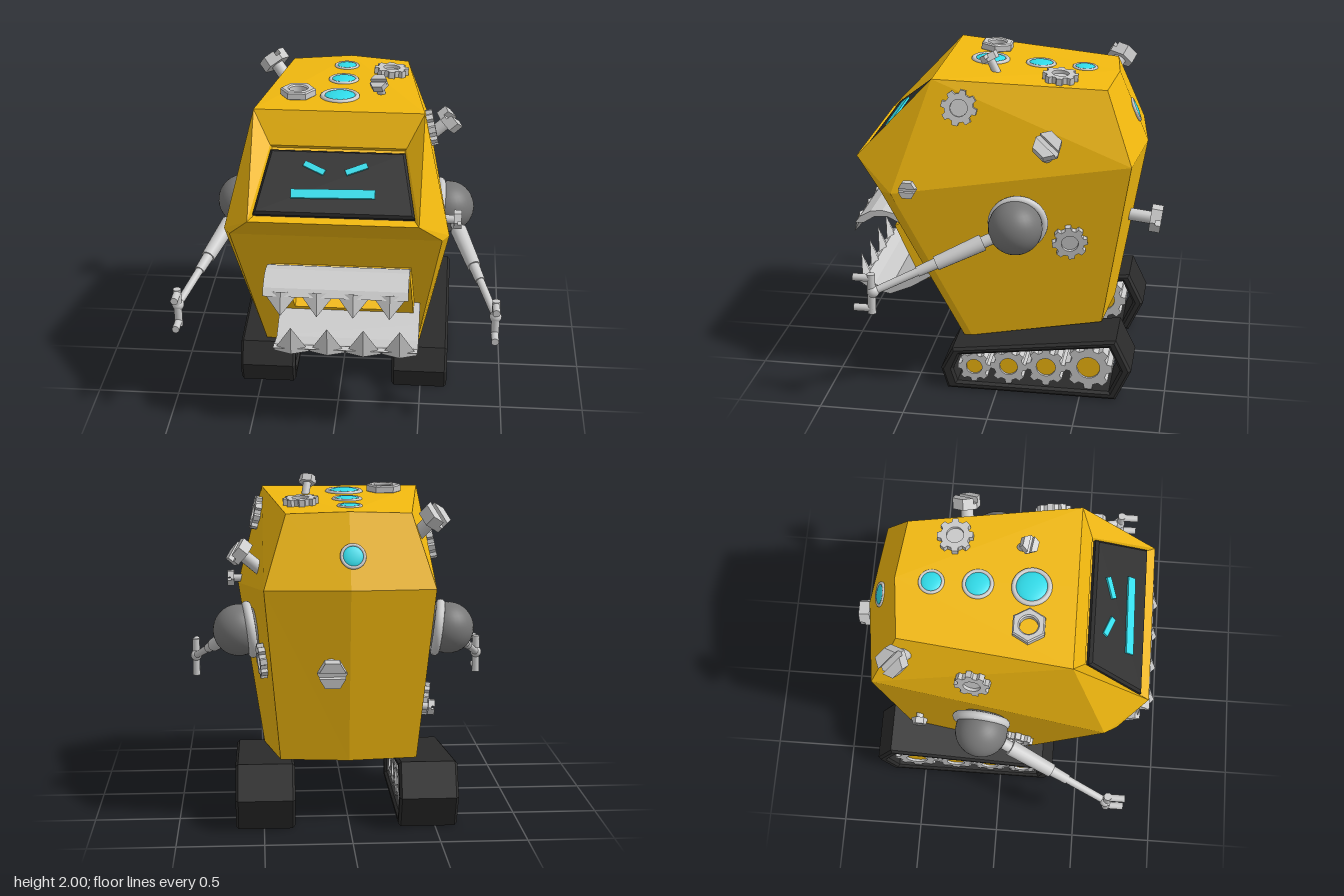
import * as THREE from 'three';
import { RoundedBoxGeometry } from 'three/addons/geometries/RoundedBoxGeometry.js';

const mat = (color, flatShading = false) => new THREE.MeshStandardMaterial({ color, flatShading });
const grey = mat(0xcccccc), flatGrey = mat(0xcccccc, true), joint = mat(0x777777);
const yellow = mat(0xf2b90f, true), dark = mat(0x2b2b2b, true), cyan = mat(0x30dcea);
yellow.side = flatGrey.side = THREE.DoubleSide;
const V = (a) => new THREE.Vector3(...a);
const Z = new THREE.Vector3(0, 0, 1), Y = new THREE.Vector3(0, 1, 0);

function add(parent, name, geo, material, pos = [0, 0, 0]) {
  const m = new THREE.Mesh(geo, material);
  m.name = name;
  m.position.set(...pos);
  parent.add(m);
  return m;
}
function sub(parent, name) {
  const g = new THREE.Group();
  g.name = name;
  parent.add(g);
  return g;
}
const poly = (pts) => new THREE.Shape(pts.map((p) => new THREE.Vector2(...p)));
const extrude = (shape, depth, bevel = 0) => new THREE.ExtrudeGeometry(shape, {
  depth: depth - 2 * bevel, bevelEnabled: bevel > 0, bevelSize: bevel, bevelOffset: -bevel,
  bevelThickness: bevel, bevelSegments: 1, curveSegments: 24 }).translate(0, 0, bevel - depth / 2);
// profile given as (z, y), extruded across x
const across = (shape, width, bevel) => extrude(shape, width, bevel).rotateY(-Math.PI / 2);
const disc = (r, h, n = 28, r2 = r) => new THREE.CylinderGeometry(r2, r, h, n).rotateX(Math.PI / 2);
function rod(parent, name, a, b, r1, r2, material = grey) {
  const d = b.clone().sub(a);
  const m = add(parent, name, new THREE.CylinderGeometry(r2, r1, d.length(), 18), material, a.clone().lerp(b, 0.5).toArray());
  m.quaternion.setFromUnitVectors(Y, d.normalize());
}

// Faceted body: half the corners, '*' means the same corner moved to the centre line
function bodyGeometry() {
  const P = {
    topFront: [0.49, 1.89, 0.4], topBack: [0.36, 1.83, -0.6], topRidge: [0, 1.845, -0.64],
    back: [0.49, 1.415, -0.76], ridge: [0, 1.42, -0.82], lowBack: [0.4, 0.385, -0.6], lowRidge: [0, 0.385, -0.645],
    side: [0.65, 1.235, 0.62], front: [0.61, 1.235, 0.69], lowFront: [0.47, 0.27, 0.23], lowSide: [0.49, 0.28, 0.18],
    brow: [0.48, 1.4, 0.86], rim: [0.39, 1.7, 0.47], inBrow: [0.455, 1.405, 0.8], inRim: [0.38, 1.68, 0.455],
  };
  const faces = [
    'topFront topBack topRidge topFront*', 'topBack back ridge topRidge', 'back lowBack lowRidge ridge',
    'topFront topBack back', 'topFront back side', 'side back lowBack lowSide', 'side lowSide lowFront front',
    'front lowFront lowFront* front*', 'lowSide lowBack lowRidge lowFront* lowFront', 'brow front front* brow*',
    'brow front side', 'brow side topFront', 'topFront brow rim', 'topFront rim rim* topFront*',
    'rim brow inBrow inRim', 'brow inBrow inBrow* brow*', 'rim inRim inRim* rim*', 'inBrow inRim inRim* inBrow*',
  ];
  const out = [], core = new THREE.Vector3(0, 1.05, 0);
  for (const s of [1, -1]) for (const f of faces) {
    const c = f.split(' ').map((k) => {
      const [x, y, z] = P[k.replace('*', '')];
      return new THREE.Vector3(k.endsWith('*') ? 0 : x * s, y, z);
    });
    for (let i = 1; i < c.length - 1; i++) {
      const t = new THREE.Triangle(c[0], c[i], c[i + 1]);
      const outward = t.getNormal(new THREE.Vector3()).dot(c[0].clone().sub(core)) > 0;
      for (const v of outward ? [t.a, t.b, t.c] : [t.a, t.c, t.b]) out.push(v.x, v.y, v.z);
    }
  }
  const g = new THREE.BufferGeometry();
  g.setAttribute('position', new THREE.Float32BufferAttribute(out, 3));
  g.computeVertexNormals();
  return g;
}

// Cog with trapezoid teeth and a round hole, axis along z
function cogGeometry(r, hole, depth, n = 8) {
  const pts = [];
  for (let i = 0; i < n; i++) for (const [t, k] of [[-0.32, 0.8], [-0.2, 1], [0.2, 1], [0.32, 0.8]]) {
    const a = ((i + t) / n) * Math.PI * 2;
    pts.push([Math.cos(a) * r * k, Math.sin(a) * r * k]);
  }
  const s = poly(pts);
  s.holes.push(new THREE.Path().absarc(0, 0, hole, 0, Math.PI * 2, true));
  return extrude(s, depth);
}

// Slotted hexagonal bolt: pos is the head centre, dir points out of the head
function bolt(parent, pos, dir, r) {
  const g = sub(parent, 'bolt'), h = r * 0.8, k = r * 0.2, w = r - k / Math.sqrt(3);
  add(g, 'boltShaft', disc(r * 0.45, r * 2, 16), grey, [0, 0, -r * 1.2]);
  add(g, 'boltHeadBase', disc(r, h / 2, 6).rotateZ(Math.PI / 6), flatGrey, [0, 0, -h / 4]);
  for (const s of [0, Math.PI]) {
    const half = poly([[w, k], [r / 2, r * 0.866], [-r / 2, r * 0.866], [-w, k]]);
    add(g, 'boltHeadHalf', extrude(half, h / 2), flatGrey, [0, 0, h / 4]).rotation.z = s;
  }
  g.position.set(...pos);
  g.quaternion.setFromUnitVectors(Z, V(dir).normalize());
}

export function createModel() {
  const model = new THREE.Group();
  model.name = 'robot';
  const body = add(model, 'body', bodyGeometry(), yellow);

  // Seat a group on the body surface, found along dir from a point outside
  const seat = (name, from, dir) => {
    const hit = new THREE.Raycaster(V(from), V(dir)).intersectObject(body)[0];
    const g = sub(model, name);
    g.position.copy(hit.point);
    g.quaternion.setFromUnitVectors(Z, hit.face.normal);
    return g;
  };

  // Lights on the top, back slope and underside
  const down = [0, -1, 0], up = [0, 1, 0];
  for (const [x, y, z, r, d] of [[-0.015, 3, -0.43, 0.075, down], [-0.015, 3, -0.165, 0.09, down], [-0.015, 3, 0.14, 0.115, down],
    [-0.015, 3, -0.74, 0.075, down], [-0.015, -1, 0.08, 0.105, up], [-0.015, -1, -0.19, 0.085, up], [-0.015, -1, -0.42, 0.07, up]]) {
    const g = seat('light', [x, y, z], d);
    add(g, 'lightRing', new THREE.TorusGeometry(r * 0.88, r * 0.13, 10, 32), grey);
    add(g, 'lightLens', new THREE.SphereGeometry(r * 0.82, 28, 14).scale(1, 1, 0.25), cyan);
  }

  // Cogs and a nut fixed to the panels
  const right = [1, 0, 0], left = [-1, 0, 0];
  for (const [from, d] of [[[2, 1.735, 0.235], left], [[2, 0.94, -0.41], left], [[-2, 1.6, -0.16], right],
    [[-2, 0.57, 0.1], right], [[0.265, 3, -0.315], down]]) {
    const g = seat('panelCog', from, d);
    add(g, 'cog', cogGeometry(0.105, 0.05, 0.04), flatGrey, [0, 0, 0.02]);
    add(g, 'cogCentre', disc(0.052, 0.02), grey, [0, 0, 0.01]);
  }
  const nutShape = poly([0, 1, 2, 3, 4, 5].map((i) => [Math.cos(i * Math.PI / 3) * 0.105, Math.sin(i * Math.PI / 3) * 0.105]));
  nutShape.holes.push(new THREE.Path().absarc(0, 0, 0.052, 0, Math.PI * 2, true));
  add(seat('nut', [-0.26, 3, 0.14], down), 'hexNut', extrude(nutShape, 0.05, 0.008), flatGrey, [0, 0, 0.02]);

  bolt(model, [0.63, 1.57, -0.29], [0.7, 0.6, -0.1], 0.085);
  bolt(model, [0.695, 1.285, 0.51], [1, 0, 0], 0.055);
  bolt(model, [-0.49, 1.81, -0.61], [-0.6, 0.7, -0.4], 0.09);
  bolt(model, [0.11, 0.96, -0.89], [0, -0.12, -1], 0.085);
  bolt(model, [0.21, 1.955, 0.11], [-0.15, 0.85, 0.45], 0.055);
  bolt(model, [-0.49, 0.67, -0.52], [-1, -0.1, 0], 0.05);

  // Face screen with angry brows and a straight mouth bar
  const screen = sub(model, 'screen');
  screen.position.set(0, 1.545, 0.645);
  screen.rotation.x = -0.897;
  add(screen, 'screenPanel', extrude(poly([[-0.455, -0.205], [0.455, -0.205], [0.385, 0.205], [-0.385, 0.205]]), 0.05, 0.015), dark);
  const mark = (name, w, h, x, y, rot) => { add(screen, name, new THREE.BoxGeometry(w, h, 0.02), cyan, [x, y, 0.027]).rotation.z = rot; };
  mark('mouthBar', 0.475, 0.055, -0.01, -0.075, 0.02);
  mark('browMark', 0.13, 0.035, -0.125, 0.085, -0.45);
  mark('browMark', 0.13, 0.035, 0.115, 0.085, 0.4);

  // Mouth frame on the sloping front
  const mouth = sub(model, 'mouth');
  mouth.position.set(0.035, 0.815, 0.49);
  mouth.rotation.x = 0.445;
  const frame = poly([[-0.385, -0.19], [0.42, -0.19], [0.4, 0.19], [-0.4, 0.19]]);
  frame.holes.push(poly([[-0.29, -0.115], [-0.33, 0.14], [0.32, 0.14], [0.33, -0.115]]));
  add(mouth, 'mouthFrame', extrude(frame, 0.12), yellow, [0, 0, 0.03]);
  add(mouth, 'mouthInside', new THREE.BoxGeometry(0.7, 0.3, 0.04), dark);

  // Curved jaws with four teeth each
  const jaw = (name, profile, x, width, base, tip) => {
    const g = sub(model, name);
    g.position.x = x;
    add(g, 'jawPlate', across(poly(profile), width), flatGrey);
    const a = V([0, ...base]), b = V([0, ...tip]), d = b.clone().sub(a);
    for (let i = 0; i < 4; i++) {
      const c = a.clone().lerp(b, 0.5).setX((i - 1.5) * width / 4);
      const geo = new THREE.ConeGeometry(width / 8, d.length(), 4).scale(1, 1, 0.3);
      add(g, 'tooth', geo, flatGrey, c.toArray()).quaternion.setFromUnitVectors(Y, d.clone().normalize());
    }
  };
  jaw('upperJaw', [[0.55, 0.97], [0.65, 1.02], [0.73, 1.037], [0.8, 1.03], [0.87, 0.99], [0.9, 0.95], [0.85, 0.95], [0.78, 0.995], [0.7, 1.0], [0.6, 0.95]],
    0.015, 0.83, [0.965, 0.87], [0.845, 0.935]);
  jaw('lowerJaw', [[0.4, 0.67], [0.55, 0.575], [0.68, 0.52], [0.8, 0.54], [0.87, 0.59], [0.84, 0.6], [0.78, 0.575], [0.68, 0.56], [0.58, 0.61], [0.48, 0.67]],
    0.07, 0.84, [0.565, 0.85], [0.735, 0.88]);

  // Arms: shoulder ball in a collar, telescoping rod, two-pronged hand
  for (const s of [1, -1]) {
    const arm = sub(model, s > 0 ? 'leftArm' : 'rightArm');
    const a = new THREE.Vector3(0.64 * s, 1.065, -0.11), b = new THREE.Vector3(0.935 * s, 0.74, 0.67);
    const at = (t) => a.clone().lerp(b, t);
    add(arm, 'shoulder', new THREE.SphereGeometry(0.158, 32, 20), joint, a.toArray());
    const collar = add(arm, 'shoulderCollar', new THREE.TorusGeometry(0.148, 0.028, 12, 36), grey, [0.575 * s, 1.068, -0.115]);
    collar.quaternion.setFromUnitVectors(Z, V([s, -0.12, -0.1]).normalize());
    rod(arm, 'upperArm', at(0.1), at(0.27), 0.035, 0.035);
    rod(arm, 'armSleeve', at(0.23), at(0.56), 0.05, 0.042);
    rod(arm, 'armMiddle', at(0.56), at(0.69), 0.033, 0.03);
    rod(arm, 'forearm', at(0.66), at(1), 0.024, 0.022);
    add(arm, 'wrist', new THREE.SphereGeometry(0.036, 18, 12), grey, b.toArray());
    const hand = (dy, dz) => new THREE.Vector3(b.x, b.y + dy, b.z + 0.01 + dz);
    rod(arm, 'handBar', hand(-0.135, 0), hand(0.11, 0), 0.024, 0.024);
    for (const dy of [0.085, -0.105]) rod(arm, 'finger', hand(dy, -0.01), hand(dy, 0.105), 0.022, 0.022);
  }

  // Tracks with cog wheels showing through the open sides
  for (const x of [0.492, -0.457]) {
    const track = sub(model, x > 0 ? 'leftTrack' : 'rightTrack');
    track.position.x = x;
    const belt = poly([[0.3, 0], [0.34, 0.13], [0.27, 0.265], [-0.71, 0.39], [-0.805, 0.195], [-0.715, 0]]);
    belt.holes.push(poly([[0.24, 0.05], [0.265, 0.13], [0.225, 0.225], [-0.67, 0.34], [-0.74, 0.195], [-0.675, 0.05]]));
    add(track, 'trackBelt', across(belt, 0.345, 0.015), dark);
    for (const [z, y, r] of [[0.14, 0.145, 0.1], [-0.07, 0.162, 0.112], [-0.295, 0.176, 0.12], [-0.55, 0.193, 0.142]]) {
      const cog = add(track, 'wheelCog', cogGeometry(r, r * 0.48, 0.3), flatGrey, [0, y, z]);
      const hub = add(track, 'wheelHub', disc(r * 0.5, 0.27), yellow, [0, y, z]);
      cog.rotation.y = hub.rotation.y = Math.PI / 2;
    }
  }
  return model;
}
